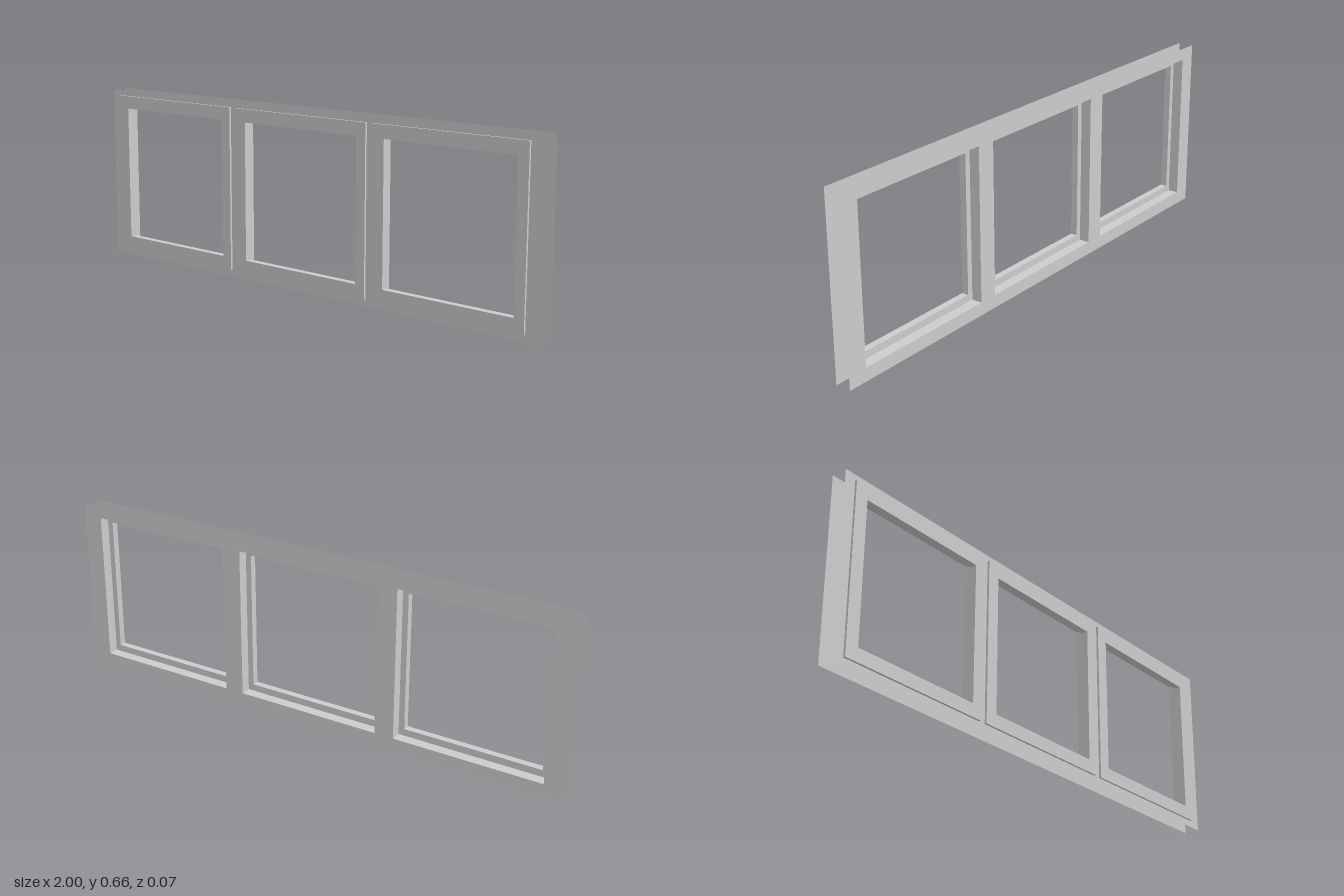
import * as THREE from 'three';

const WIDTH = 2, HEIGHT = 0.662, MID_Y = 0.3325;
const BACK = -0.033, STEP = 0.007, FACE = 0.025, FRONT = 0.033;
const BOX = 0.284;                       // half size of the reveal
const LIGHT_W = 0.262, LIGHT_H = 0.258;  // half size of the clear opening
const FLANGE = 0.307;                    // half size of the sash flange
const CENTRES = [-0.645, -0.002, 0.641];

const material = new THREE.MeshStandardMaterial({ color: 0xcccccc, flatShading: true, side: THREE.DoubleSide });

function rect(Type, cx, cy, hw, hh) {
  const path = new Type();
  path.moveTo(cx - hw, cy - hh);
  path.lineTo(cx + hw, cy - hh);
  path.lineTo(cx + hw, cy + hh);
  path.lineTo(cx - hw, cy + hh);
  path.closePath();
  return path;
}

function part(name, geometry, parent) {
  const mesh = new THREE.Mesh(geometry, material);
  mesh.name = name;
  parent.add(mesh);
  return mesh;
}

// Thin sheet with the three window openings cut out
function sheet(name, z, parent) {
  const shape = rect(THREE.Shape, 0, HEIGHT / 2, WIDTH / 2, HEIGHT / 2);
  for (const x of CENTRES) shape.holes.push(rect(THREE.Path, x, MID_Y, BOX, BOX));
  part(name, new THREE.ShapeGeometry(shape), parent).position.z = z;
}

// Rectangular ring around the clear opening, between two depths
function ring(name, half, shift, z0, z1, parent) {
  const shape = rect(THREE.Shape, shift, 0, half, half);
  shape.holes.push(rect(THREE.Path, 0, 0, LIGHT_W, LIGHT_H));
  const geometry = new THREE.ExtrudeGeometry(shape, { depth: z1 - z0, bevelEnabled: false });
  part(name, geometry, parent).position.z = z0;
}

function createWindow(x) {
  const sash = new THREE.Group();
  sash.name = 'window';
  sash.position.set(x, MID_Y, 0);

  // Reveal: four thin walls joining the two sheets
  const reveal = new THREE.Group();
  reveal.name = 'reveal';
  for (let i = 0; i < 4; i++) {
    const wall = new THREE.PlaneGeometry(2 * BOX, FACE - BACK);
    wall.rotateX(-Math.PI / 2);
    wall.translate(0, -BOX, (FACE + BACK) / 2);
    wall.rotateZ(i * Math.PI / 2);
    part('revealWall', wall, reveal);
  }
  sash.add(reveal);

  // Stepped sash: inner stop and the wider front flange
  ring('innerStop', BOX, 0, STEP, FACE, sash);
  ring('frontFlange', FLANGE, -0.005, FACE, FRONT, sash);
  return sash;
}

export function createModel() {
  const model = new THREE.Group();
  model.name = 'tripleWindow';
  sheet('frontSheet', FACE, model);
  sheet('backSheet', BACK, model);
  for (const x of CENTRES) model.add(createWindow(x));
  return model;
}
